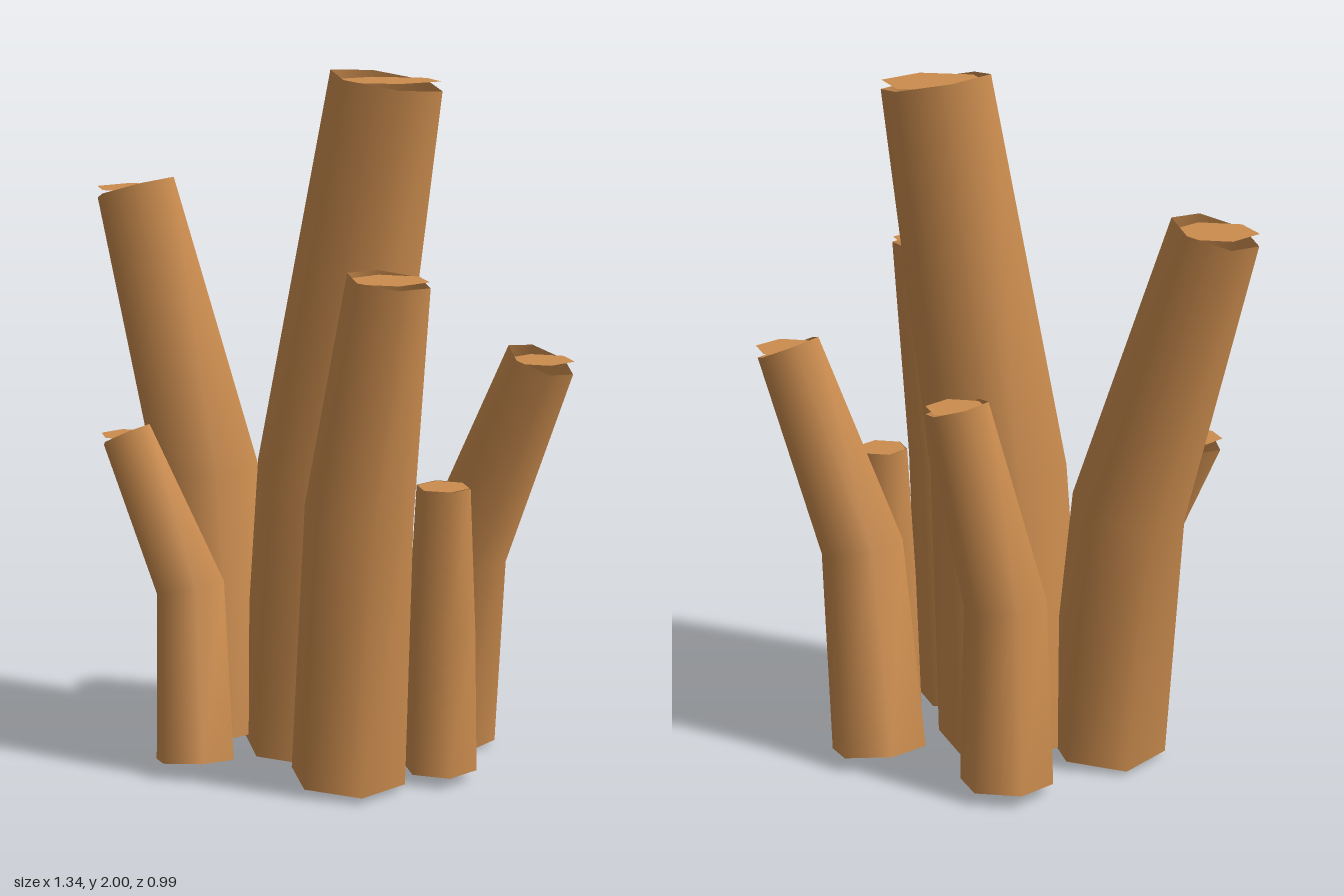
import * as THREE from 'three';
import { mergeVertices } from 'three/addons/utils/BufferGeometryUtils.js';

const wood = new THREE.MeshStandardMaterial({ color: 0xcb8c4e, side: THREE.DoubleSide });
wood.name = 'wood brown';

// Each stalk: [x, y, z, radius] at the base, the bend and the top.
const STALKS = {
  tallStalk: [[0.025, 0.025, -0.01, 0.225], [0.085, 0.85, 0.0, 0.205], [0.27, 1.975, -0.055, 0.163]],
  leftLeaningStalk: [[-0.235, 0.03, 0.12, 0.18], [-0.327, 0.8, 0.1, 0.165], [-0.565, 1.63, 0.165, 0.126]],
  frontTwig: [[-0.06, 0.03, 0.377, 0.118], [-0.142, 0.515, 0.32, 0.106], [-0.35, 0.945, 0.382, 0.08]],
  rightStalk: [[0.33, 0.025, 0.138, 0.168], [0.377, 0.8, 0.145, 0.157], [0.469, 1.457, 0.125, 0.118]],
  smallTwig: [[0.46, 0.03, -0.1, 0.109], [0.462, 0.45, -0.1, 0.098], [0.467, 0.853, -0.097, 0.078]],
  backRightStalk: [[0.245, 0.027, -0.355, 0.143], [0.355, 0.62, -0.3, 0.127], [0.588, 1.198, -0.357, 0.1]],
  backLeftStalk: [[-0.19, 0.025, -0.273, 0.137], [-0.152, 0.55, -0.235, 0.122], [0.0, 1.112, -0.267, 0.094]],
};

// Open six-sided tapering tube whose rings stand square to the bent path.
function bentTube(rings) {
  const centers = rings.map(([x, y, z]) => new THREE.Vector3(x, y, z));
  const lower = centers[1].clone().sub(centers[0]).normalize();
  const upper = centers[2].clone().sub(centers[1]).normalize();
  const tangents = [lower, lower.clone().add(upper).normalize(), upper];

  let geo = new THREE.CylinderGeometry(1, 1, 2, 6, 2, true);
  const pos = geo.attributes.position;
  for (let i = 0; i < pos.count; i++) {
    const k = Math.round(pos.getY(i)) + 1;
    const t = tangents[k];
    const r = rings[k][3];
    const u = new THREE.Vector3(1, 0, 0).addScaledVector(t, -t.x).normalize();
    const v = u.clone().cross(t);
    const p = centers[k].clone().addScaledVector(u, pos.getX(i) * r).addScaledVector(v, pos.getZ(i) * r);
    pos.setXYZ(i, p.x, p.y, p.z);
  }
  // weld the seam so the sides shade smoothly all round
  geo.deleteAttribute('uv');
  geo.deleteAttribute('normal');
  geo = mergeVertices(geo, 1e-5);
  geo.computeVertexNormals();
  return geo;
}

export function createModel() {
  const model = new THREE.Group();
  model.name = 'stalkCluster';
  for (const [name, rings] of Object.entries(STALKS)) {
    const stalk = new THREE.Group();
    stalk.name = name;

    const side = new THREE.Mesh(bentTube(rings), wood);
    side.name = 'stalkSide';

    // level lid lying across the slanted opening
    const [x, y, z, r] = rings[2];
    const lid = new THREE.Mesh(new THREE.CircleGeometry(r * 0.97, 6, Math.PI / 2).rotateX(-Math.PI / 2), wood);
    lid.name = 'stalkLid';
    lid.position.set(x, y, z);

    stalk.add(side, lid);
    model.add(stalk);
  }
  return model;
}
